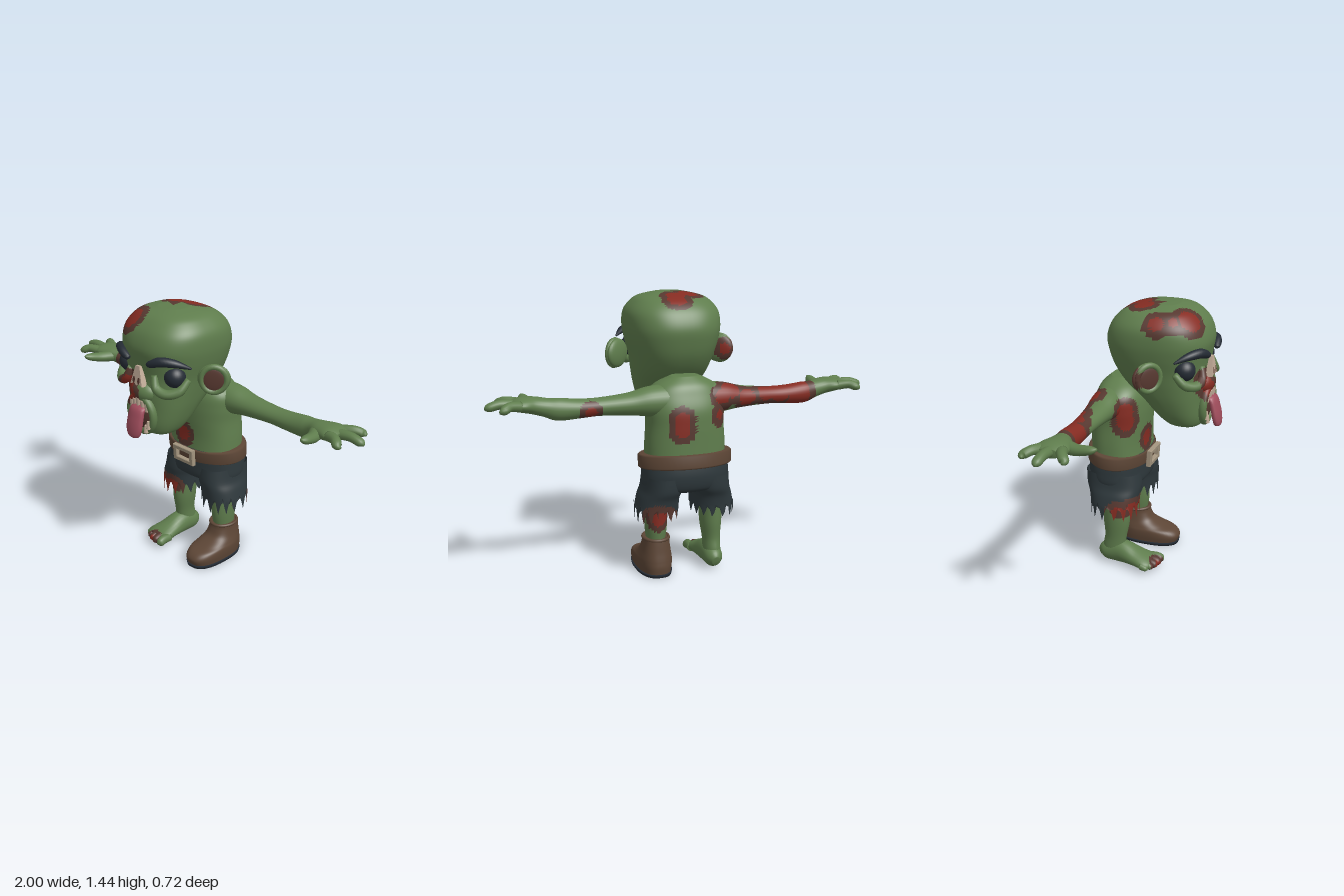
import * as THREE from 'three';

const mat = (name, color, side = THREE.FrontSide) => {
  const m = new THREE.MeshStandardMaterial({ color, side });
  m.name = name;
  return m;
};
const M = {
  skin: mat('green skin', 0x5f7d4d),
  wound: mat('scab brown', 0x573830),
  blood: mat('blood red', 0x862c22),
  cloth: mat('dark cloth', 0x2e383c, THREE.DoubleSide),
  leather: mat('brown leather', 0x5d4636),
  dark: mat('charcoal', 0x252c35),
  metal: mat('buckle bone', 0xa3957f),
  tongue: mat('tongue pink', 0xa04d5c),
  teeth: mat('bone', 0xc2ac98),
};

// Spots of blood as x, y, z, radius; a scab border surrounds each one
const SPOTS = [
  [0.02, 1.42, -0.13, 0.05], [0.01, 1.43, -0.07, 0.05], [-0.07, 1.43, -0.03, 0.05],
  [-0.2, 1.37, 0.08, 0.04], [-0.17, 1.37, 0.15, 0.035], [-0.12, 1.38, 0.22, 0.06],
  [-0.08, 1.07, 0.3, 0.045], [-0.05, 1.03, 0.31, 0.04],
  [-0.03, 0.71, -0.03, 0.045], [-0.2, 0.84, -0.08, 0.06], [-0.19, 0.89, -0.09, 0.05],
  [0.06, 0.84, -0.33, 0.04], [0.06, 0.79, -0.33, 0.04],
  [-0.22, 0.97, -0.26, 0.05], [-0.17, 0.94, -0.3, 0.045], [-0.17, 0.85, -0.32, 0.045],
  [-0.31, 0.92, -0.27, 0.045], [-0.42, 0.94, -0.25, 0.045], [-0.5, 0.94, -0.24, 0.06],
  [-0.61, 0.91, -0.2, 0.08], [0.5, 0.89, -0.25, 0.03],
  [-0.3, 1.13, 0.02, 0.03], [0.16, 0.33, -0.25, 0.06], [-0.17, 0.03, 0.07, 0.025],
  [-0.13, 0.35, -0.05, 0.04], [-0.2, 0.35, -0.06, 0.045], [-0.25, 0.34, -0.12, 0.04],
];

// Catmull-Rom blend of numeric rows, t from 0 to 1
function mix(rows, t) {
  const f = t * (rows.length - 1), i = Math.min(Math.floor(f), rows.length - 2), u = f - i;
  const at = k => rows[Math.max(0, Math.min(rows.length - 1, k))];
  return rows[0].map((_, c) => {
    const [a, b, d, e] = [at(i - 1)[c], at(i)[c], at(i + 1)[c], at(i + 2)[c]];
    return b + 0.5 * u * (d - a + u * (2 * a - 5 * b + 4 * d - e + u * (3 * (b - d) + e - a)));
  });
}

// Skin over a list of rings, with optional end caps
function loft(rings, caps = true) {
  const n = rings[0].length, pos = [], idx = [];
  rings.forEach(r => r.forEach(p => pos.push(p.x, p.y, p.z)));
  for (let i = 0; i < rings.length - 1; i++) for (let j = 0; j < n; j++) {
    const a = i * n + j, b = i * n + (j + 1) % n;
    idx.push(a, a + n, b, b, a + n, b + n);
  }
  if (caps) [0, rings.length - 1].forEach(i => {
    const c = rings[i].reduce((s, p) => s.add(p), new THREE.Vector3()).divideScalar(n);
    const k = pos.push(c.x, c.y, c.z) / 3 - 1;
    for (let j = 0; j < n; j++) {
      const a = i * n + j, b = i * n + (j + 1) % n;
      idx.push(k, i ? b : a, i ? a : b);
    }
  });
  const g = new THREE.BufferGeometry();
  g.setAttribute('position', new THREE.Float32BufferAttribute(pos, 3));
  g.setIndex(idx);
  g.computeVertexNormals();
  return g;
}

const spow = (v, p) => Math.sign(v) * Math.abs(v) ** p;

// Upright body; rows are y, front z, back z, half width, centre x
function body(rows, { n = 48, steps = 30, p = 0.85, caps = true, hem } = {}) {
  const rings = [];
  for (let i = 0; i <= steps; i++) {
    const [y, zf, zb, hw, cx] = mix(rows, i / steps);
    rings.push(Array.from({ length: n }, (_, j) => {
      const a = j / n * Math.PI * 2;
      return new THREE.Vector3(cx + hw * spow(Math.cos(a), p), y + (hem && i === 0 ? hem(j) : 0),
        (zf + zb) / 2 + (zf - zb) / 2 * spow(Math.sin(a), p));
    }));
  }
  return loft(rings, caps);
}

// Limb along a path; rows are x, y, z, side radius, up radius
function sweep(rows, up = [0, 1, 0], n = 14, steps = 14) {
  const U = new THREE.Vector3(...up), rings = [];
  const point = t => new THREE.Vector3(...mix(rows, t).slice(0, 3));
  for (let i = 0; i <= steps; i++) {
    const t = i / steps, [x, y, z, w, h] = mix(rows, t);
    const T = point(Math.min(1, t + 0.01)).sub(point(Math.max(0, t - 0.01))).normalize();
    const S = T.clone().cross(U).normalize(), V = S.clone().cross(T);
    rings.push(Array.from({ length: n }, (_, j) => {
      const a = j / n * Math.PI * 2;
      return new THREE.Vector3(x, y, z).addScaledVector(S, w * Math.cos(a)).addScaledVector(V, h * Math.sin(a));
    }));
  }
  return loft(rings);
}

function flip(g) {
  const m = g.clone().scale(-1, 1, 1), ix = m.index.array;
  for (let i = 0; i < ix.length; i += 3) [ix[i], ix[i + 1]] = [ix[i + 1], ix[i]];
  m.computeVertexNormals();
  return m;
}

// Sort faces into base, scab and blood groups
function paint(g, base) {
  const p = g.attributes.position, ix = g.index.array, sets = [[], [], []];
  const v = new THREE.Vector3(), c = new THREE.Vector3();
  for (let i = 0; i < ix.length; i += 3) {
    c.set(0, 0, 0);
    for (let k = 0; k < 3; k++) c.add(v.fromBufferAttribute(p, ix[i + k]));
    c.divideScalar(3);
    const d = Math.min(...SPOTS.map(s => Math.hypot(c.x - s[0], c.y - s[1], c.z - s[2]) - s[3]));
    sets[d < 0 ? 2 : d < 0.032 ? 1 : 0].push(ix[i], ix[i + 1], ix[i + 2]);
  }
  g.setIndex(sets.flat());
  let start = 0;
  sets.forEach((s, k) => { if (s.length) g.addGroup(start, s.length, k); start += s.length; });
  return [base, M.wound, M.blood];
}

export function createModel() {
  const model = new THREE.Group();
  model.name = 'zombie';
  const add = (name, g, m) => {
    const painted = (m === M.skin || m === M.cloth) && g.index;
    const mesh = new THREE.Mesh(g, painted ? paint(g, m) : m);
    mesh.name = name;
    model.add(mesh);
    return mesh;
  };
  const pair = (name, g, m) => { const r = flip(g); add(name + 'Left', g, m); add(name + 'Right', r, m); };
  const ball = (x, y, z, rx, ry, rz) => new THREE.SphereGeometry(1, 28, 18).scale(rx, ry, rz).translate(x, y, z);

  // Head and torso
  add('head', body([
    [0.815, 0.24, 0.13, 0.08, 0], [0.83, 0.265, 0.08, 0.115, 0], [0.88, 0.28, 0.02, 0.145, 0],
    [0.96, 0.285, -0.05, 0.172, 0], [1.04, 0.29, -0.14, 0.192, 0], [1.12, 0.285, -0.195, 0.21, 0],
    [1.2, 0.295, -0.222, 0.232, 0], [1.27, 0.305, -0.23, 0.243, 0], [1.34, 0.285, -0.205, 0.238, 0],
    [1.39, 0.245, -0.16, 0.205, 0], [1.42, 0.2, -0.1, 0.16, 0], [1.44, 0.13, 0, 0.07, 0],
  ], { n: 80, steps: 60, p: 0.8 }), M.skin);
  add('torso', body([
    [0.6, -0.03, -0.33, 0.21, 0], [0.7, -0.035, -0.33, 0.207, 0], [0.8, -0.03, -0.33, 0.2, 0],
    [0.88, -0.03, -0.325, 0.203, 0], [0.95, -0.04, -0.3, 0.195, 0], [1.0, -0.07, -0.275, 0.15, 0],
    [1.04, -0.13, -0.23, 0.07, 0],
  ], { n: 72, steps: 40 }), M.skin);

  // Arms and hands
  pair('arm', sweep([
    [0.1, 0.92, -0.2, 0.09, 0.085], [0.2, 0.92, -0.2, 0.082, 0.075], [0.3, 0.915, -0.2, 0.068, 0.056],
    [0.45, 0.912, -0.2, 0.055, 0.045], [0.55, 0.91, -0.2, 0.054, 0.048], [0.65, 0.913, -0.2, 0.052, 0.055],
    [0.71, 0.925, -0.195, 0.05, 0.046], [0.77, 0.938, -0.185, 0.065, 0.042],
    [0.83, 0.945, -0.185, 0.08, 0.036], [0.88, 0.942, -0.185, 0.06, 0.022],
  ], [0, 1, 0], 28, 64), M.skin);
  [[0.84, -0.235, 0.945, -0.285], [0.85, -0.185, 1.0, -0.19], [0.84, -0.135, 0.945, -0.085]].forEach(([x, z, x2, z2], i) =>
    pair('finger' + (i + 1), sweep([[x, 0.945, z, 0.03, 0.026], [(x + x2) / 2, 0.952, (z + z2) / 2, 0.025, 0.023],
      [x2 - 0.02, 0.94, z2, 0.023, 0.02], [x2, 0.933, z2, 0.006, 0.006]]), M.skin));
  pair('thumb', sweep([[0.74, 0.93, -0.18, 0.04, 0.034], [0.775, 0.93, -0.1, 0.032, 0.028],
    [0.79, 0.945, -0.02, 0.024, 0.02], [0.792, 0.955, 0.012, 0.006, 0.006]]), M.skin);

  // Ears
  const earAt = g => g.rotateY(0.7).translate(0.28, 1.13, 0.06);
  pair('ear', earAt(ball(0, 0, 0, 0.082, 0.074, 0.026)), M.skin);
  pair('earRim', earAt(new THREE.TorusGeometry(0.062, 0.014, 8, 28).scale(1, 1.05, 1).translate(0, 0, 0.018)), M.skin);
  pair('earInner', earAt(ball(0, 0, 0.02, 0.055, 0.058, 0.009)), M.wound);

  // Eyes, sagging lids and brows
  pair('eye', ball(0.163, 1.147, 0.212, 0.054, 0.054, 0.054), M.dark);
  pair('eyeBag', sweep([[0.085, 1.15, 0.275, 0.016, 0.016], [0.108, 1.09, 0.285, 0.023, 0.024], [0.16, 1.068, 0.268, 0.024, 0.026],
    [0.208, 1.085, 0.225, 0.023, 0.024], [0.225, 1.14, 0.18, 0.016, 0.016]], [0.5, 0, 0.86], 12, 20), M.skin);
  pair('brow', sweep([[0.065, 1.212, 0.3, 0.006, 0.008], [0.085, 1.214, 0.302, 0.02, 0.018], [0.14, 1.234, 0.285, 0.024, 0.024],
    [0.2, 1.228, 0.24, 0.022, 0.019], [0.25, 1.203, 0.185, 0.005, 0.005]], [0, 1, 0], 10, 20), M.dark);

  // Snout with an exposed nose bone
  add('snout', ball(0, 1.045, 0.262, 0.085, 0.06, 0.06), M.skin);
  const noseShape = new THREE.Shape([[-0.042, 0], [-0.014, 0.012], [0, 0], [0.014, 0.012], [0.042, 0], [0.014, 0.1], [-0.014, 0.1]]
    .map(q => new THREE.Vector2(...q)));
  add('noseBone', new THREE.ExtrudeGeometry(noseShape, { depth: 0.05, bevelEnabled: false })
    .rotateX(-0.12).translate(0, 1.08, 0.27), M.teeth);
  [-1, 1].forEach(s => add('nostril', new THREE.CircleGeometry(0.012, 12).scale(0.7, 1.5, 1)
    .rotateX(-0.12).translate(s * 0.017, 1.113, 0.3185), M.wound));

  // Open mouth, lips, teeth and tongue
  add('mouth', ball(0, 0.93, 0.262, 0.08, 0.095, 0.04), M.wound);
  add('lips', new THREE.TorusGeometry(0.083, 0.018, 12, 40).scale(1, 1.15, 1.2).rotateX(0.08).translate(0, 0.93, 0.283), M.skin);
  for (let i = -2; i <= 2; i++)
    add('upperTooth', new THREE.CylinderGeometry(0.015, 0.011, 0.042, 8)
      .translate(i * 0.027, 1.0 - Math.abs(i) * 0.012, 0.305 - Math.abs(i) * 0.004), M.teeth);
  [-0.064, -0.045, 0.045, 0.064].forEach(x => add('lowerTooth', new THREE.CylinderGeometry(0.009, 0.013, 0.04, 8)
    .translate(x, 0.86 + (Math.abs(x) - 0.045) * 1.4, 0.298), M.teeth));
  add('tongue', sweep([[0, 0.955, 0.27, 0.045, 0.018], [0, 0.962, 0.31, 0.05, 0.02], [0, 0.91, 0.328, 0.053, 0.022],
    [0, 0.86, 0.338, 0.052, 0.022], [0, 0.825, 0.342, 0.038, 0.018], [0, 0.815, 0.342, 0.01, 0.006]], [0, 0.3, 1], 16, 24), M.tongue);

  // Ragged shorts
  add('shortsSeat', body([
    [0.455, -0.07, -0.29, 0.17, 0], [0.48, -0.035, -0.33, 0.222, 0], [0.55, -0.03, -0.345, 0.226, 0], [0.64, -0.03, -0.335, 0.218, 0],
  ]), M.cloth);
  pair('shortsLeg', body([
    [0.355, -0.045, -0.3, 0.11, 0.151], [0.42, -0.038, -0.31, 0.103, 0.143],
    [0.47, -0.033, -0.33, 0.1, 0.128], [0.54, -0.04, -0.335, 0.1, 0.12],
  ], { n: 60, steps: 14, caps: false, hem: j => [0.03, -0.01, -0.05, -0.012][j % 4] + 0.012 * Math.sin(j * 1.7) }), M.cloth);

  // Belt and buckle
  const beltProfile = [[0.2, -0.036], [0.238, -0.036], [0.247, -0.028], [0.247, 0.028], [0.238, 0.036], [0.2, 0.036]];
  add('belt', new THREE.LatheGeometry(beltProfile.map(q => new THREE.Vector2(...q)), 48)
    .scale(1, 1, 0.68).rotateX(0.08).translate(0, 0.615, -0.187), M.leather);
  const frame = (w, h, S) => new S([[-w, -h], [w, -h], [w, h], [-w, h]].map(q => new THREE.Vector2(...q)));
  const buckle = frame(0.07, 0.042, THREE.Shape);
  buckle.holes.push(frame(0.05, 0.025, THREE.Path));
  add('buckle', new THREE.ExtrudeGeometry(buckle, { depth: 0.02, bevelEnabled: true, bevelSize: 0.003, bevelThickness: 0.003, bevelSegments: 1 })
    .rotateX(0.08).translate(0, 0.6, -0.021), M.metal);

  // Legs
  pair('leg', sweep([
    [0.14, 0.5, -0.17, 0.075, 0.08], [0.15, 0.35, -0.165, 0.062, 0.075], [0.152, 0.25, -0.165, 0.056, 0.072],
    [0.155, 0.16, -0.17, 0.046, 0.06], [0.155, 0.09, -0.18, 0.045, 0.062], [0.155, 0.05, -0.18, 0.04, 0.05],
  ], [0, 0, 1], 24, 32), M.skin);

  // Bare right foot
  add('bareFoot', sweep([
    [-0.152, 0.05, -0.26, 0.02, 0.025], [-0.152, 0.06, -0.225, 0.047, 0.052], [-0.156, 0.072, -0.14, 0.056, 0.066],
    [-0.164, 0.056, -0.05, 0.069, 0.047], [-0.17, 0.044, 0.015, 0.08, 0.034], [-0.17, 0.04, 0.045, 0.06, 0.02],
  ], [0, 1, 0], 24, 24), M.skin);
  [-0.11, -0.148, -0.181, -0.211, -0.238].forEach((x, i) => {
    const r = 0.024 - i * 0.002, z = 0.088 - i * i * 0.0028;
    add('toe' + (i + 1), sweep([[x, 0.042, 0, r, r], [x, 0.042, z - 0.04, r, r * 1.1], [x, 0.034, z - 0.012, r, r * 0.95],
      [x, 0.03, z, r * 0.3, r * 0.3]]), M.skin);
  });

  // Left shoe
  add('shoe', body([
    [0.014, 0.08, -0.262, 0.085, 0.153], [0.05, 0.09, -0.266, 0.09, 0.153], [0.08, 0.062, -0.263, 0.09, 0.153],
    [0.1, 0.0, -0.26, 0.084, 0.153], [0.13, -0.062, -0.255, 0.075, 0.153], [0.17, -0.085, -0.25, 0.068, 0.153],
    [0.2, -0.09, -0.246, 0.066, 0.153],
  ], { p: 0.8 }), M.leather);
  add('shoeSole', body([[0, 0.083, -0.262, 0.088, 0.153], [0.018, 0.087, -0.267, 0.092, 0.153]], { p: 0.8, steps: 2 }), M.dark);
  add('shoeCuff', new THREE.TorusGeometry(0.066, 0.008, 8, 32).rotateX(Math.PI / 2).scale(1, 1, 1.18)
    .translate(0.153, 0.197, -0.168), M.leather);
  return model;
}
